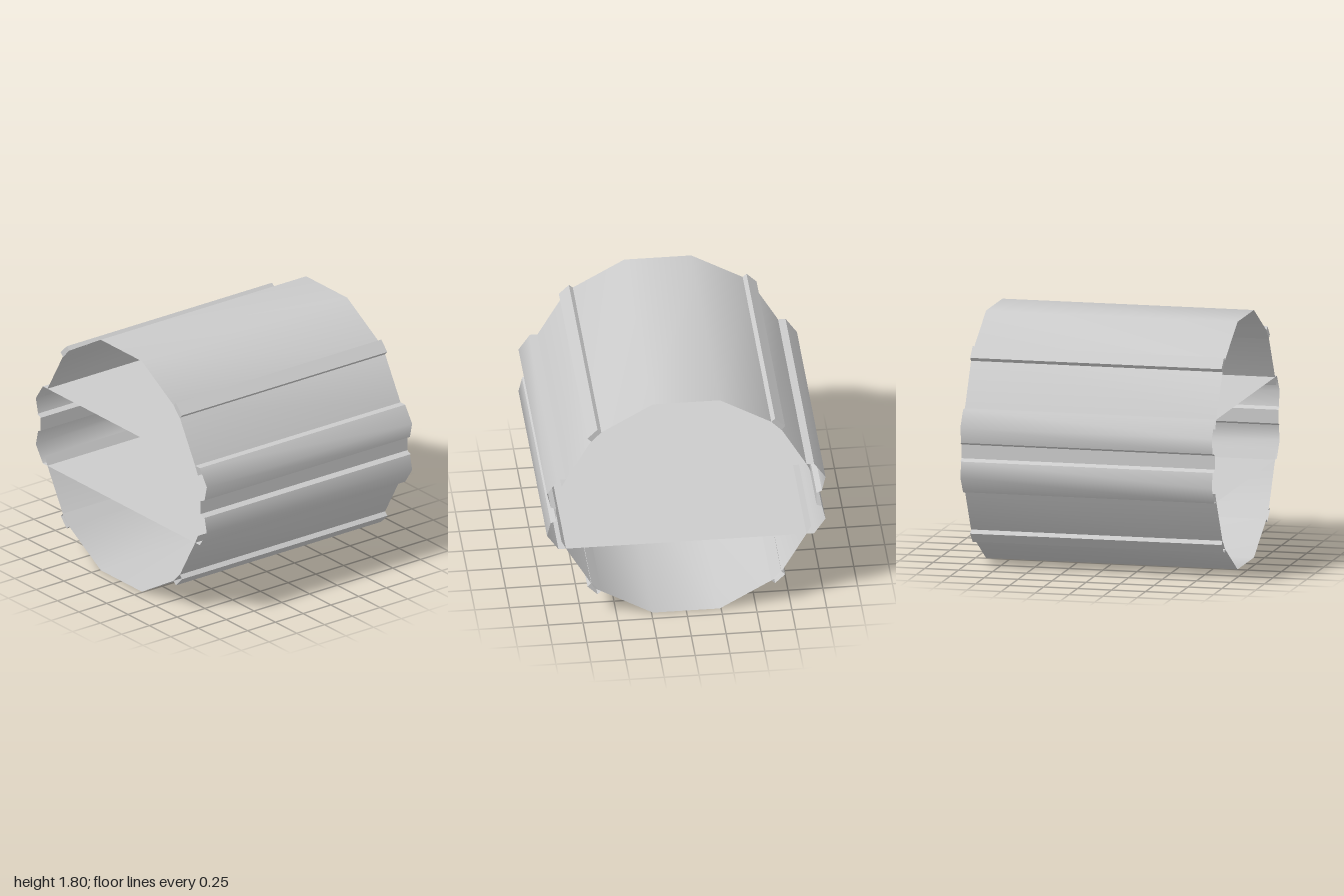
import * as THREE from 'three';

const MID = 0.9, HALF = 0.925, R = 0.93;
const DECK = 0.3, DECK_X = 0.864, LIP_X = 0.918; // deck height is measured from MID

export function createModel() {
  const model = new THREE.Group();
  const material = new THREE.MeshStandardMaterial({ color: 0xcccccc, side: THREE.DoubleSide });

  // Sheet swept along z from an x/y profile; counter-clockwise profiles face outwards.
  function sheet(name, points, { half = HALF, flat = false, sx = 1, sy = 1 } = {}) {
    const pts = points.map(([x, y]) => [x * sx, MID + y * sy]);
    if (sx * sy < 0) pts.reverse();
    const pos = [], index = [];
    pts.forEach(([x, y], i) => {
      pos.push(x, y, half, x, y, -half);
      const a = 2 * i;
      if (i < pts.length - 1) index.push(a, a + 1, a + 2, a + 1, a + 3, a + 2);
    });
    let geometry = new THREE.BufferGeometry();
    geometry.setAttribute('position', new THREE.Float32BufferAttribute(pos, 3));
    geometry.setIndex(index);
    if (flat) geometry = geometry.toNonIndexed();
    geometry.computeVertexNormals();
    const mesh = new THREE.Mesh(geometry, material);
    mesh.name = name;
    model.add(mesh);
  }

  // Upper and lower arcs of a twelve-sided tube, cut off by the decks
  const arc = [[DECK_X, DECK]];
  for (const deg of [45, 75, 105, 135]) {
    const a = THREE.MathUtils.degToRad(deg);
    arc.push([R * Math.cos(a), R * Math.sin(a)]);
  }
  arc.push([-DECK_X, DECK]);

  // Ridge section, as seen on the +x upper side
  const ridge = [[0.61, 0.685], [0.682, 0.61], [0.71, 0.638], [0.638, 0.71], [0.61, 0.685]];

  for (const sy of [1, -1]) {
    const level = sy > 0 ? 'upper' : 'lower';
    sheet(level + 'Shell', arc, { sy });
    sheet(level + 'Deck', [[LIP_X, DECK], [-LIP_X, DECK]], { sy });

    for (const sx of [1, -1]) {
      const side = sx > 0 ? 'Left' : 'Right';
      // Small inner edge where the tube wall passes through the deck
      sheet(level + side + 'InnerEdge', [[0.896, 0.235], [DECK_X, DECK]], { sx, sy });
      // Rounded rail bulging out beside the deck
      sheet(level + side + 'Rail', [[0.974, 0.068], [1, 0.18], [LIP_X, DECK]], { sx, sy });
      // Long ridge lying on the shell
      sheet(level + side + 'Ridge', ridge, { sx, sy, flat: true });
    }
  }

  for (const sx of [1, -1]) {
    const side = sx > 0 ? 'left' : 'right';
    // Groove between the two rails
    sheet(side + 'Groove', [[0.974, -0.068], [0.935, -0.05], [0.935, 0.05], [0.974, 0.068]],
      { sx, half: 0.931, flat: true });

    // Closed ends of the upper ridges
    const outline = ridge.slice(0, 4).map(([x, y]) => new THREE.Vector2(x * sx, MID + y));
    for (const sz of [1, -1]) {
      const cap = new THREE.Mesh(new THREE.ShapeGeometry(new THREE.Shape(outline)), material);
      cap.name = side + (sz > 0 ? 'Front' : 'Back') + 'RidgeCap';
      cap.position.z = sz * HALF;
      model.add(cap);
    }
  }
  return model;
}
